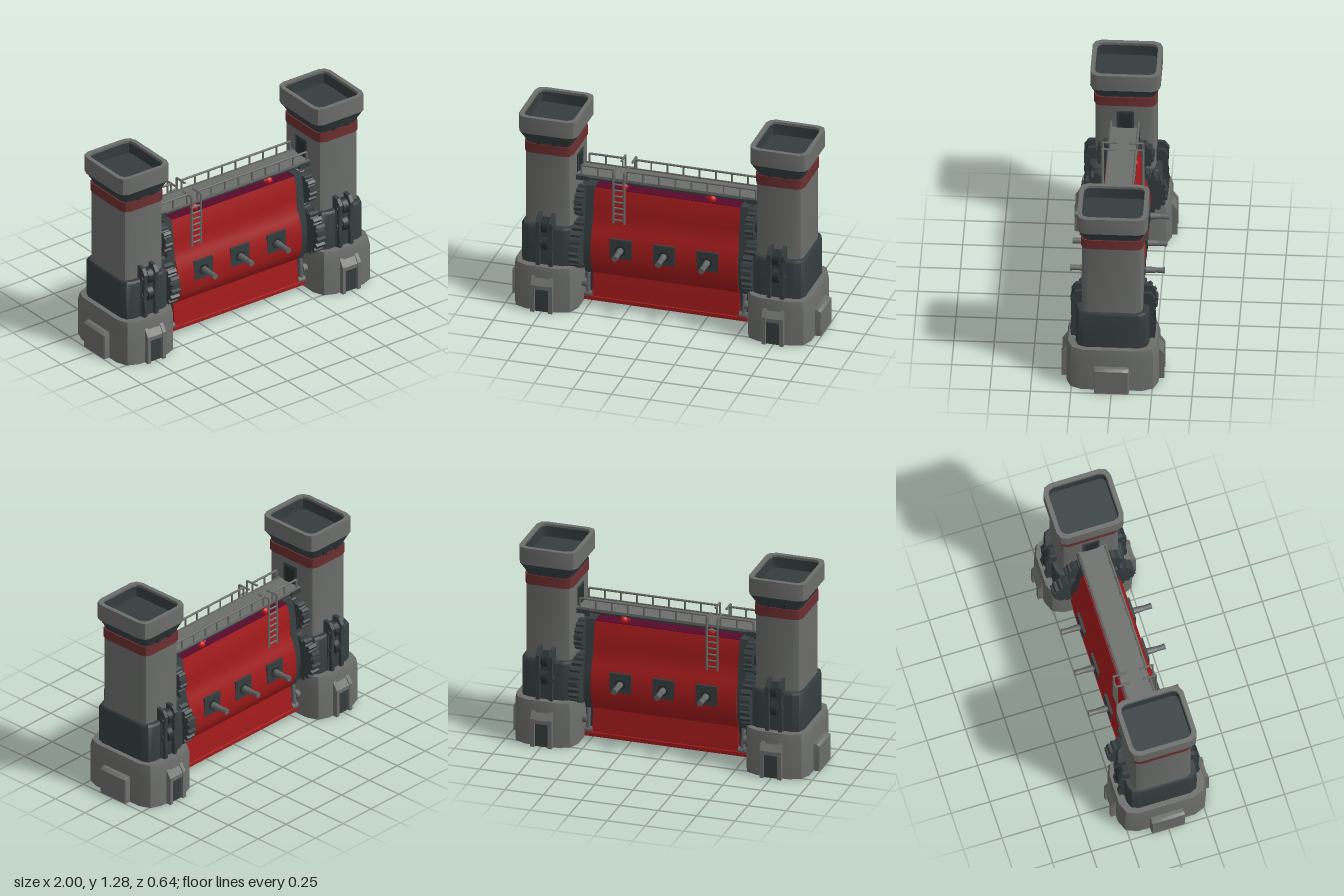
import * as THREE from 'three';
import { toCreasedNormals } from 'three/addons/utils/BufferGeometryUtils.js';

const mat = (name, color) => { const m = new THREE.MeshStandardMaterial({ color }); m.name = name; return m; };

export function createModel() {
  const grey = mat('stone grey', 0x6c6e6b), dark = mat('dark slate', 0x353d3f), red = mat('gate red', 0xa21a1b),
    band = mat('band red', 0x6c2e30), purple = mat('deep purple', 0x560a2a), lamp = mat('lamp red', 0xc4161c),
    steel = mat('steel', 0x626564), black = mat('dark iron', 0x262d2f);
  const root = new THREE.Group();
  root.name = 'gatehouse';

  const add = (parent, name, geo, m, x = 0, y = 0, z = 0) => {
    const mesh = new THREE.Mesh(geo, m);
    mesh.name = name;
    mesh.position.set(x, y, z);
    parent.add(mesh);
    return mesh;
  };
  // box given by its limits
  const box = (parent, name, m, x0, x1, y0, y1, z0, z1) =>
    add(parent, name, new THREE.BoxGeometry(x1 - x0, y1 - y0, z1 - z0), m, (x0 + x1) / 2, (y0 + y1) / 2, (z0 + z1) / 2);
  // round bar between two points, r at the start and r2 at the end
  const bar = (parent, name, m, a, b, r, sides = 6, r2 = r) => {
    const p = new THREE.Vector3(...a), q = new THREE.Vector3(...b), d = q.clone().sub(p);
    const mesh = add(parent, name, new THREE.CylinderGeometry(r2, r, d.length(), sides), m);
    mesh.position.copy(p).add(q).multiplyScalar(0.5);
    mesh.quaternion.setFromUnitVectors(new THREE.Vector3(0, 1, 0), d.normalize());
    return mesh;
  };
  // outline of a rectangle with rounded (or chamfered) corners
  const outline = (hx, hz, c, seg) => {
    const pts = [];
    for (let k = 0; k < 4; k++) for (let i = 0; i <= seg; i++) {
      const a = (k + i / seg) * Math.PI / 2;
      const sx = k === 0 || k === 3 ? 1 : -1, sz = k < 2 ? 1 : -1;
      pts.push([sx * (hx - c) + c * Math.cos(a), sz * (hz - c) + c * Math.sin(a)]);
    }
    return pts;
  };
  // stack of outlines [y, halfX, halfZ, corner], closed at both ends
  const loft = (levels, seg) => {
    const rings = levels.map(([y, hx, hz, c]) => outline(hx, hz, c, seg).map(([x, z]) => [x, y, z]));
    const pos = [], n = rings[0].length, top = rings.length - 1;
    for (let i = 0; i < n; i++) {
      const j = (i + 1) % n;
      for (let k = 0; k < top; k++) {
        const a = rings[k], b = rings[k + 1];
        pos.push(...a[i], ...b[i], ...a[j], ...a[j], ...b[i], ...b[j]);
      }
      pos.push(0, levels[top][0], 0, ...rings[top][j], ...rings[top][i]);
      pos.push(0, levels[0][0], 0, ...rings[0][i], ...rings[0][j]);
    }
    const g = new THREE.BufferGeometry();
    g.setAttribute('position', new THREE.Float32BufferAttribute(pos, 3));
    return toCreasedNormals(g, 0.6);
  };
  // upright rectangular ring with rounded corners, standing on y = 0
  const ringGeo = (hx, hz, c, wall, depth) => {
    const v = (p) => p.map(([x, z]) => new THREE.Vector2(x, z));
    const s = new THREE.Shape(v(outline(hx, hz, c, 2)));
    s.holes.push(new THREE.Path(v(outline(hx - wall, hz - wall, c * 0.75, 2))));
    return toCreasedNormals(new THREE.ExtrudeGeometry(s, { depth, bevelEnabled: false }).rotateX(-Math.PI / 2), 0.6);
  };
  // (z, y) outline extruded from x0 to x1
  const extrudeX = (pts, x0, x1, crease = 0.45) => {
    const s = new THREE.Shape(pts.map(([z, y]) => new THREE.Vector2(-z, y)));
    const g = new THREE.ExtrudeGeometry(s, { depth: x1 - x0, bevelEnabled: false });
    g.rotateY(Math.PI / 2).translate(x0, 0, 0);
    return toCreasedNormals(g, crease);
  };
  const wheelX = (parent, name, m, r, w, x, y, z, sides = 20) =>
    add(parent, name, new THREE.CylinderGeometry(r, r, w, sides).rotateZ(Math.PI / 2), m, x, y, z);

  // ---- Tower: built around its own centre, outer side towards +x
  const makeTower = (name) => {
    const t = new THREE.Group();
    t.name = name;
    add(t, 'towerBase', loft([[0, 0.205, 0.285, 0.1], [0.25, 0.205, 0.285, 0.1], [0.295, 0.197, 0.275, 0.095]], 2), grey, 0.006);
    add(t, 'towerMiddle', loft([[0.28, 0.17, 0.227, 0.06], [0.535, 0.17, 0.226, 0.06], [0.55, 0.163, 0.218, 0.06]], 2), dark);
    add(t, 'towerShaft', loft([[0.54, 0.152, 0.188, 0.045], [1.04, 0.152, 0.188, 0.045]], 2), grey);
    add(t, 'towerBand', loft([[1.035, 0.157, 0.195, 0.048], [1.1, 0.157, 0.195, 0.048]], 2), band);
    add(t, 'towerFlare', loft([[1.1, 0.148, 0.188, 0.045], [1.12, 0.152, 0.195, 0.045], [1.174, 0.187, 0.218, 0.055]], 2), dark);
    // hollow parapet with dark lining
    add(t, 'parapet', ringGeo(0.19, 0.217, 0.055, 0.028, 0.112), grey, 0, 1.173, 0);
    add(t, 'parapetLining', ringGeo(0.164, 0.191, 0.042, 0.007, 0.096), dark, 0, 1.174, 0);
    add(t, 'parapetFloor', loft([[1.173, 0.162, 0.189, 0.04], [1.2, 0.162, 0.189, 0.04]], 2), dark);
    // outer side plate
    add(t, 'sideButtress', loft([[0, 0.052, 0.108, 0.006], [0.165, 0.052, 0.108, 0.006], [0.178, 0.035, 0.104, 0.006]], 1), grey, 0.2, 0, 0);
    // doorway in the inner wall at walkway level
    box(t, 'walkwayDoorFrame', dark, -0.157, -0.14, 0.86, 0.995, -0.055, 0.055);
    box(t, 'walkwayDoor', black, -0.16, -0.155, 0.87, 0.98, -0.038, 0.038);
    // details repeated on front and back
    for (const s of [0, 1]) {
      const f = new THREE.Group();
      f.name = s ? 'backDetails' : 'frontDetails';
      f.rotation.y = s * Math.PI;
      t.add(f);
      const jamb = [[0.25, 0], [0.318, 0], [0.318, 0.185], [0.285, 0.235], [0.25, 0.235]];
      add(f, 'doorJamb', extrudeX(jamb, -0.07, -0.045), grey);
      add(f, 'doorJamb', extrudeX(jamb, 0.045, 0.07), grey);
      add(f, 'doorLintel', extrudeX([[0.25, 0.155], [0.314, 0.155], [0.314, 0.18], [0.283, 0.225], [0.25, 0.225]], -0.046, 0.046), grey);
      box(f, 'door', dark, -0.046, 0.046, 0, 0.156, 0.26, 0.3);
      // pulley block
      const cheek = [[0.15, 0.27], [0.255, 0.27], [0.265, 0.35], [0.255, 0.42], [0.262, 0.59], [0.235, 0.63], [0.18, 0.635], [0.15, 0.6]];
      for (const x of [-0.042, 0.042]) add(f, 'pulleyCheek', extrudeX(cheek, x - 0.012, x + 0.012), dark);
      box(f, 'pulleyBack', dark, -0.06, 0.06, 0.28, 0.55, 0.2, 0.235);
      for (const y of [0.56, 0.44]) {
        wheelX(f, 'pulleyWheel', black, 0.05, 0.04, 0, y, 0.213);
        wheelX(f, 'pulleyAxle', dark, 0.014, 0.12, 0, y, 0.235, 10);
      }
      for (const x of [-0.05, 0.05]) box(f, 'corbel', black, x - 0.014, x + 0.014, 1.105, 1.165, 0.17, 0.203);
    }
    return t;
  };
  const leftTower = makeTower('leftTower'), rightTower = makeTower('rightTower');
  leftTower.position.x = 0.748;
  rightTower.position.x = -0.748;
  rightTower.rotation.y = Math.PI;
  root.add(leftTower, rightTower);

  // ---- Gate body
  const gate = new THREE.Group();
  gate.name = 'gate';
  root.add(gate);
  const mirrorProfile = (half) => [...half, ...half.map(([z, y]) => [-z, y]).reverse()];
  const upper = [[0.11, 0.22], [0.14, 0.26], [0.158, 0.3], [0.166, 0.35], [0.166, 0.42], [0.157, 0.49], [0.138, 0.54], [0.12, 0.59], [0.114, 0.66], [0.108, 0.73], [0.09, 0.8]];
  add(gate, 'gateBody', extrudeX(mirrorProfile(upper), -0.475, 0.475), red);
  add(gate, 'gateSkirt', extrudeX(mirrorProfile([[0.132, 0.06], [0.128, 0.11], [0.115, 0.235]]), -0.475, 0.475), red);
  add(gate, 'gateSill', extrudeX(mirrorProfile([[0.115, 0.032], [0.138, 0.045], [0.138, 0.068], [0.12, 0.075]]), -0.525, 0.525), red);
  box(gate, 'gateTopPanel', purple, -0.47, 0.47, 0.798, 0.804, -0.086, 0.086);

  // gun ports on both faces
  for (const s of [1, -1]) for (const x of [-0.28, 0, 0.28]) {
    box(gate, 'gunPlate', dark, x - 0.07, x + 0.07, 0.37, 0.5, s > 0 ? 0.13 : -0.169, s > 0 ? 0.169 : -0.13);
    bar(gate, 'gunCollar', black, [x, 0.43, s * 0.16], [x, 0.43, s * 0.174], 0.035, 14);
    bar(gate, 'gunBarrel', steel, [x, 0.43, s * 0.165], [x, 0.43, s * 0.235], 0.022, 12, 0.018);
    bar(gate, 'gunMuzzle', steel, [x, 0.43, s * 0.23], [x, 0.43, s * 0.292], 0.016, 12, 0.019);
  }

  // ---- End frames, gears and lower rods
  const gearShape = (r, teeth) => {
    const pts = [];
    for (let i = 0; i < teeth; i++) for (const [o, k] of [[0, 0.88], [0.25, 0.88], [0.38, 1], [0.82, 1]]) {
      const a = (i + o) / teeth * Math.PI * 2;
      pts.push([Math.cos(a) * r * k, Math.sin(a) * r * k]);
    }
    return pts;
  };
  for (const s of [1, -1]) {
    const span = (a, b) => (s > 0 ? [a, b] : [-b, -a]);
    add(gate, 'endFrame', extrudeX(mirrorProfile([[0.1, 0.06], [0.11, 0.22], [0.15, 0.3], [0.155, 0.46], [0.125, 0.58], [0.11, 0.72], [0.09, 0.81]]), ...span(0.472, 0.525)), dark);
    for (const f of [1, -1]) {
      for (const [r, y, z, teeth, a, b] of [[0.155, 0.415, 0.112, 20, 0.525, 0.59], [0.1, 0.7, 0.085, 14, 0.525, 0.58]]) {
        const name = r > 0.12 ? 'largeGear' : 'smallGear';
        add(gate, name, extrudeX(gearShape(r, teeth), ...span(a, b), 0.3), dark, 0, y, z * f);
        wheelX(gate, name + 'Hub', black, r * 0.5, 0.012, s * (b + 0.003), y, z * f);
      }
      bar(gate, 'sideRod', steel, [s * 0.505, 0.05, f * 0.125], [s * 0.505, 0.22, f * 0.11], 0.014, 8);
      wheelX(gate, 'rodKnob', steel, 0.028, 0.03, s * 0.525, 0.15, f * 0.115, 12);
      wheelX(gate, 'sillRoller', steel, 0.02, 0.05, s * 0.5, 0.08, f * 0.12, 12);
    }
  }

  // ---- Walkway with railings
  const walk = new THREE.Group();
  walk.name = 'walkway';
  root.add(walk);
  box(walk, 'walkwayDeck', grey, -0.6, 0.6, 0.862, 0.872, -0.088, 0.088);
  box(walk, 'walkwayBeam', dark, -0.58, 0.58, 0.845, 0.862, -0.08, 0.08);
  for (const s of [1, -1]) {
    box(walk, 'walkwayBracket', dark, s * 0.55 - 0.04, s * 0.55 + 0.04, 0.84, 0.868, -0.095, 0.095);
    const z = 0.085 * s;
    box(walk, 'deckEdge', grey, -0.59, 0.59, 0.862, 0.88, z - 0.004, z + 0.004);
    for (const [a, b, n] of [[-0.56, -0.345, 2], [-0.265, 0.57, 8]]) {
      bar(walk, 'topRail', grey, [a, 0.938, z], [b, 0.938, z], 0.007);
      for (let i = 0; i <= n; i++) {
        const x = a + (b - a) * i / n;
        bar(walk, 'railPost', grey, [x, 0.87, z], [x, 0.938, z], 0.006);
      }
    }
    // upright ladder with grab rails
    const lz = 0.126 * s;
    for (const x of [-0.34, -0.27]) {
      bar(walk, 'ladderRail', grey, [x, 0.938, lz], [x, 0.59, lz], 0.007);
      bar(walk, 'grabRail', grey, [x, 0.938, lz], [x, 0.938, 0.04 * s], 0.007);
    }
    for (let i = 0; i < 7; i++) {
      const y = 0.86 - 0.041 * i;
      bar(walk, 'ladderRung', grey, [-0.34, y, lz], [-0.27, y, lz], 0.006);
    }
    // warning lamps under the deck
    for (const x of [-0.285, 0.285]) {
      add(walk, 'warningLamp', new THREE.SphereGeometry(0.026, 14, 10), lamp, x, 0.828, 0.075 * s);
      bar(walk, 'lampMount', lamp, [x - 0.035, 0.835, 0.07 * s], [x + 0.02, 0.835, 0.07 * s], 0.014, 10);
    }
  }
  return root;
}
